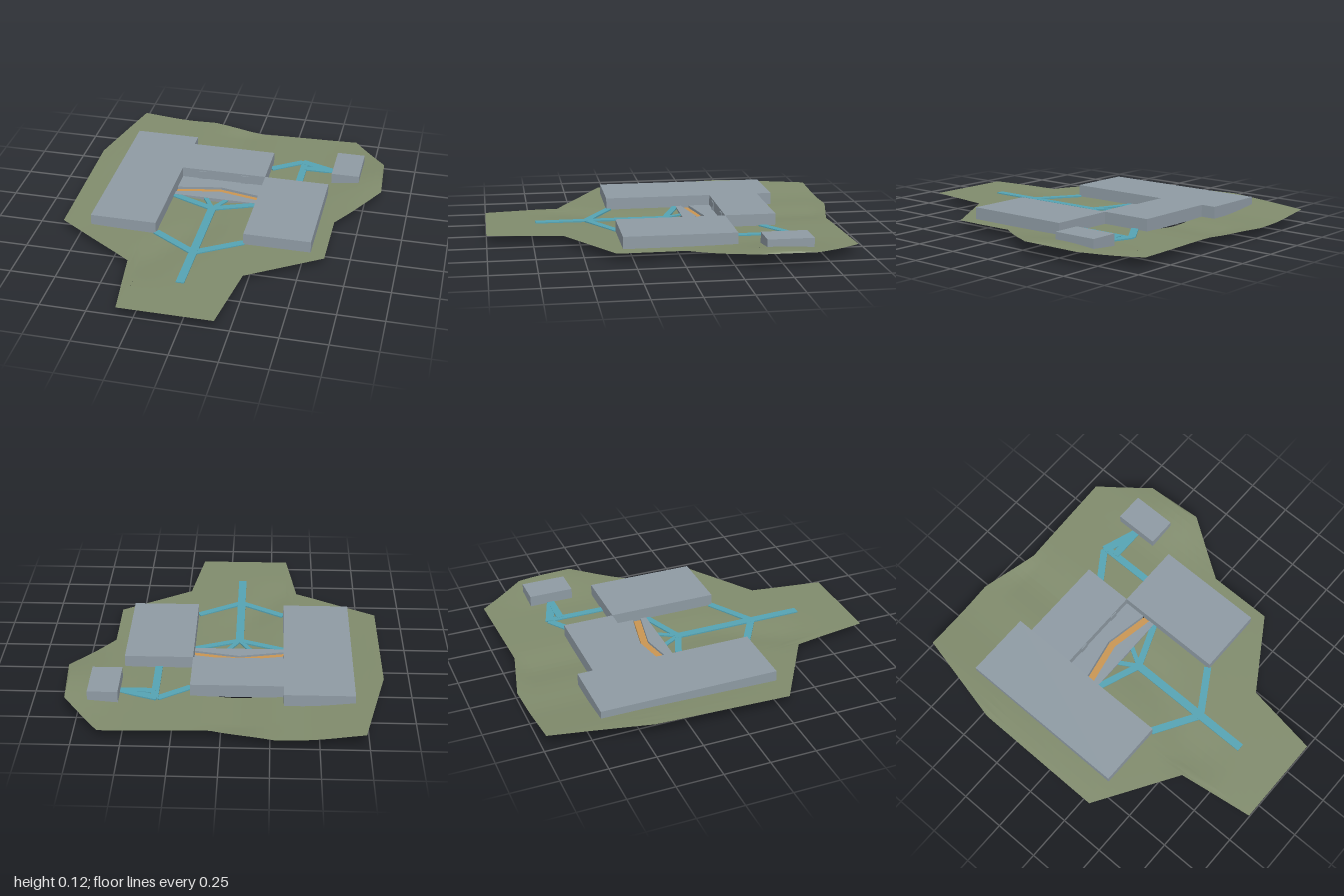
import * as THREE from 'three';

const mat = (name, color, side = THREE.FrontSide) => {
  const m = new THREE.MeshStandardMaterial({ color, side });
  m.name = name;
  return m;
};

// Piecewise linear lookup of z along a chain of [x, z] points
function chainZ(chain, x) {
  for (let i = 0; i < chain.length - 1; i++) {
    const [x0, z0] = chain[i], [x1, z1] = chain[i + 1];
    if (x >= x0 && x <= x1 && x1 > x0) return z0 + (z1 - z0) * (x - x0) / (x1 - x0);
  }
  return chain[chain.length - 1][1];
}

const BACK = [[-0.85, -0.45], [-0.73, -0.98], [-0.28, -1], [0.05, -0.92], [0.62, -0.94], [0.82, -0.67], [0.84, -0.35]];
const FRONT = [[-0.85, 0.3], [-0.4, 0.58], [-0.34, 1], [0.17, 1], [0.23, 0.59], [0.62, 0.34], [0.62, -0.02], [0.84, -0.35]];

// Openings in the ground below the buildings: x0, x1, z0, z1
const OPENINGS = [[-0.69, -0.32, -0.68, 0.3], [-0.32, 0.17, -0.59, -0.11], [0.17, 0.54, -0.31, 0.3], [0.54, 0.7, -0.68, -0.43]];

// Gentle hills on both sides and a shallow valley through the middle
function groundY(x, z) {
  const s = THREE.MathUtils.smoothstep;
  const right = 0.036 * s(x, 0.45, 0.82) * Math.exp(-Math.pow((z + 0.48) / 0.28, 2));
  const left = 0.034 * s(-x, 0.4, 0.85) * THREE.MathUtils.clamp((0.6 - z) / 1.05, 0, 1);
  const centre = -0.08 - 0.2 * s(z, 0.1, 0.6);
  const valley = 0.014 * Math.exp(-Math.pow((x - centre) / 0.13, 2)) * (1 - s(z, 0.5, 0.8)) * s(z, -1, -0.85);
  return 0.049 + right + left - valley;
}

// Ground as strips of quads along z, skipping the openings
function groundGeometry() {
  const xs = new Set([...BACK, ...FRONT].map(p => p[0]));
  OPENINGS.forEach(o => { xs.add(o[0]); xs.add(o[1]); });
  for (let x = -0.82; x < 0.84; x += 0.04) xs.add(+x.toFixed(3));
  const cols = [...xs].sort((a, b) => a - b);
  const pos = [], index = [];
  const e = 1e-6, n = 24;
  for (let i = 0; i < cols.length - 1; i++) {
    const xa = cols[i], xb = cols[i + 1], mid = (xa + xb) / 2;
    const ends = [xa + e, xb - e].map(x => [chainZ(BACK, x), chainZ(FRONT, x)]);
    const hole = OPENINGS.find(o => mid > o[0] && mid < o[1]);
    const spans = hole
      ? [ends.map(q => [q[0], hole[2]]), ends.map(q => [hole[3], q[1]])]
      : [ends];
    for (const [sa, sb] of spans) {
      const base = pos.length / 3;
      for (let j = 0; j <= n; j++) {
        const za = sa[0] + (sa[1] - sa[0]) * j / n, zb = sb[0] + (sb[1] - sb[0]) * j / n;
        pos.push(xa, groundY(xa, za), za, xb, groundY(xb, zb), zb);
        if (j < n) {
          const k = base + j * 2;
          index.push(k, k + 2, k + 1, k + 1, k + 2, k + 3);
        }
      }
    }
  }
  const g = new THREE.BufferGeometry();
  g.setAttribute('position', new THREE.Float32BufferAttribute(pos, 3));
  g.setIndex(index);
  g.computeVertexNormals();
  return g;
}

// Prism over a plan outline of [x, z] points
function prism(points, y0, y1) {
  const shape = new THREE.Shape(points.map(([x, z]) => new THREE.Vector2(x, -z)));
  const g = new THREE.ExtrudeGeometry(shape, { depth: y1 - y0, bevelEnabled: false });
  g.rotateX(-Math.PI / 2);
  g.translate(0, y0, 0);
  return g;
}

export function createModel() {
  const group = new THREE.Group();
  const grey = mat('building grey', 0x8e9aa3);
  const green = mat('ground green', 0x808b6c, THREE.DoubleSide);
  const blue = mat('path blue', 0x55a3b3);
  const orange = mat('corridor orange', 0xc99552);

  const add = (name, geometry, material) => {
    const m = new THREE.Mesh(geometry, material);
    m.name = name;
    group.add(m);
    return m;
  };
  const block = (name, x0, x1, y0, y1, z0, z1, material = grey) => {
    const g = new THREE.BoxGeometry(x1 - x0, y1 - y0, z1 - z0);
    g.translate((x0 + x1) / 2, (y0 + y1) / 2, (z0 + z1) / 2);
    return add(name, g, material);
  };
  const path = (name, x0, z0, x1, z1, width, y = 0.051) => {
    const dx = x1 - x0, dz = z1 - z0;
    const g = new THREE.BoxGeometry(Math.hypot(dx, dz), 0.008, width);
    g.rotateY(-Math.atan2(dz, dx));
    g.translate((x0 + x1) / 2, y, (z0 + z1) / 2);
    add(name, g, blue);
  };

  add('ground', groundGeometry(), green);

  // Upper storey
  block('westWing', -0.69, -0.32, 0.045, 0.115, -0.68, 0.3);
  block('middleBlock', -0.32, 0.17, 0.045, 0.115, -0.595, -0.31);
  block('eastWing', 0.17, 0.54, 0.045, 0.115, -0.31, 0.3);
  block('pavilion', 0.54, 0.7, 0.047, 0.115, -0.68, -0.43);

  // Lower storey
  block('westBasement', -0.69, -0.32, 0, 0.046, -0.475, -0.18);
  block('basementExit', -0.54, -0.49, 0.003, 0.045, -0.49, -0.47, orange);

  // Courtyard deck, split by a bent slot
  const apex = -0.075;
  const bend = (x, z) => z + 0.194 * Math.abs(x - apex);
  add('courtyardBack', prism([[-0.32, -0.31], [0.17, -0.31], [0.17, bend(0.17, -0.235)], [apex, -0.235], [-0.32, bend(-0.32, -0.235)]], 0, 0.056), grey);
  add('courtyardFront', prism([[-0.32, bend(-0.32, -0.188)], [apex, -0.188], [0.17, bend(0.17, -0.188)], [0.17, -0.108], [-0.32, -0.108]], 0, 0.056), grey);

  // Bent corridor running in the slot and below both wings
  const [w, e] = [-0.5, 0.355];
  add('bentCorridor', prism([[w, bend(w, -0.229)], [apex, -0.229], [e, bend(e, -0.229)], [e, bend(e, -0.189)], [apex, -0.189], [w, bend(w, -0.189)]], 0, 0.045), orange);

  // Doors on the courtyard wall
  for (const x of [-0.2, 0.05]) block('courtyardDoor', x - 0.022, x + 0.022, 0.056, 0.105, -0.31, -0.305);

  // Main path with its branches
  path('mainPath', -0.075, -0.03, -0.075, 0.725, 0.045);
  for (const [x, inner] of [[-0.32, -0.135], [0.17, -0.015]]) {
    path('frontBranch', apex, 0.44, x, 0.29, 0.04, 0.0508);
    path('courtyardBranch', apex, -0.01, x, -0.105, 0.036, 0.0506);
    path('doorBranch', apex, -0.01, inner, -0.112, 0.025, 0.0504);
  }

  // Paths to the pavilion
  path('pavilionLink', 0.17, -0.515, 0.34, -0.63, 0.04);
  path('pavilionLink', 0.34, -0.63, 0.54, -0.56, 0.045, 0.0525);
  path('pavilionPath', 0.355, -0.56, 0.54, -0.56, 0.04, 0.0535);
  path('eastWingPath', 0.355, -0.64, 0.355, -0.31, 0.04, 0.0515);

  return group;
}
